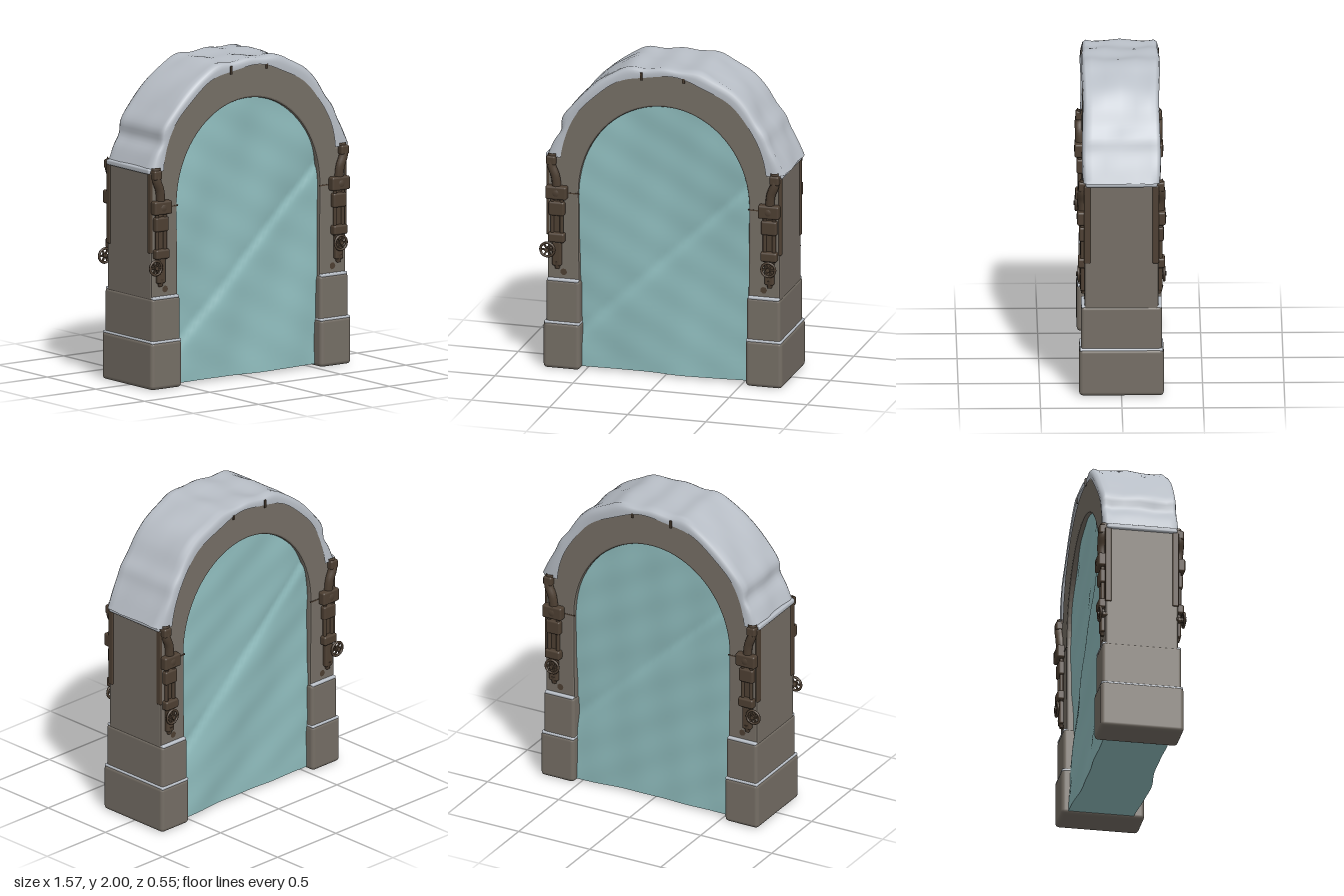
import * as THREE from 'three';
import { RoundedBoxGeometry } from 'three/addons/geometries/RoundedBoxGeometry.js';

const mat = (name, color, side = THREE.FrontSide) =>
  Object.assign(new THREE.MeshStandardMaterial({ color, side }), { name });

export function createModel() {
  const stone = mat('stone', 0x756e65);
  const ice = mat('ice', 0x8fbcbd, THREE.DoubleSide);
  const snow = mat('snow', 0xb8bec6, THREE.DoubleSide);
  const iron = mat('rustyIron', 0x4d3f32);
  const model = new THREE.Group();
  model.name = 'frozenArch';

  const add = (parent, name, geo, material, x = 0, y = 0, z = 0) => {
    const m = new THREE.Mesh(geo, material);
    m.name = name;
    m.position.set(x, y, z);
    parent.add(m);
    return m;
  };
  const rbox = (w, h, d, r = 0.012) => new RoundedBoxGeometry(w, h, d, 2, r);

  // Surface from a grid of points: rows of equal length
  const loft = (rows) => {
    const n = rows[0].length, pos = [], idx = [];
    rows.forEach((r) => r.forEach((p) => pos.push(...p)));
    for (let i = 0; i < rows.length - 1; i++)
      for (let j = 0; j < n - 1; j++) {
        const a = i * n + j, b = a + n;
        idx.push(a, a + 1, b + 1, a, b + 1, b);
      }
    const g = new THREE.BufferGeometry();
    g.setAttribute('position', new THREE.Float32BufferAttribute(pos, 3));
    g.setIndex(idx);
    g.computeVertexNormals();
    return g;
  };

  // Arch and upper pillars in one piece
  const arch = new THREE.Shape();
  const a0 = Math.asin(0.06 / 0.65);
  arch.moveTo(0.54, 0.5);
  arch.lineTo(0.745, 0.5);
  arch.lineTo(0.745, 1.36);
  arch.lineTo(0.68, 1.36);
  for (let i = 0; i <= 40; i++) {
    const a = a0 + (Math.PI - 2 * a0) * i / 40;
    arch.lineTo(0.675 * Math.cos(a), 1.3 + 0.655 * Math.sin(a));
  }
  arch.lineTo(-0.68, 1.36);
  arch.lineTo(-0.745, 1.36);
  arch.lineTo(-0.745, 0.5);
  arch.lineTo(-0.54, 0.5);
  for (let i = 0; i <= 40; i++) {
    const a = Math.PI * (1 - i / 40);
    arch.lineTo(0.545 * Math.cos(a), 1.14 + 0.6 * Math.sin(a));
  }
  const archGeo = new THREE.ExtrudeGeometry(arch, {
    depth: 0.43, bevelEnabled: true, bevelThickness: 0.012, bevelSize: 0.012, bevelOffset: -0.012, bevelSegments: 2,
  });
  add(model, 'stoneArch', archGeo, stone, 0, 0, -0.215);

  // Stepped pillar feet with snow on their ledges
  for (const s of [1, -1]) {
    add(model, 'footBlock', rbox(0.235, 0.3, 0.52, 0.025), stone, s * 0.6475, 0.15);
    add(model, 'middleBlock', rbox(0.215, 0.32, 0.495, 0.02), stone, s * 0.6425, 0.41);
    add(model, 'lowerLedgeSnow', rbox(0.226, 0.02, 0.512, 0.009), snow, s * 0.646, 0.294);
    for (const f of [1, -1]) {
      add(model, 'upperLedgeSnow', rbox(0.2, 0.02, 0.05, 0.009), snow, s * 0.643, 0.568, f * 0.222);
      add(model, 'stoneJoint', new THREE.BoxGeometry(0.07, 0.008, 0.006), iron, s * 0.575, 1.13, f * 0.226);
      add(model, 'rustSpot', new THREE.CircleGeometry(0.022, 7), iron, s * 0.64, 0.62, f * 0.229)
        .rotation.y = f > 0 ? 0 : Math.PI;
    }
  }

  // Ice slab, both faces rippled and crossed by a diagonal crease
  const ripple = (x, y, k) => {
    const d = (y - 0.85 - 0.95 * (x - 0.1) * k) * 0.72;
    const crease = (d > 0 ? Math.exp(-d / 0.16) : Math.exp(d / 0.025)) * 0.022;
    return 0.008 * Math.sin(5 * x + 3 * y + k) + 0.007 * Math.sin(9 * x * k - 6 * y)
      + 0.004 * Math.sin(17 * x + 11 * y) * Math.cos(13 * y - 4 * x) - crease;
  };
  const face = (k) => {
    const rows = [];
    for (let i = 0; i <= 60; i++) {
      const y = 0.015 + 1.73 * Math.sin(i / 60 * Math.PI / 2);
      const t = Math.min(1, Math.max(0, (y - 1.14) / 0.607));
      const w = 0.555 * Math.sqrt(1 - t * t) + 0.001;
      const row = [];
      for (let j = 0; j <= 48; j++) {
        const x = k * w * (j / 24 - 1);
        row.push([x, y, k * (0.203 + ripple(x, y, k))]);
      }
      rows.push(row);
    }
    return rows;
  };
  const front = face(1), back = face(-1);
  add(model, 'iceFront', loft(front), ice);
  add(model, 'iceBack', loft(back), ice);
  add(model, 'iceUnderside', loft([[...back[0]].reverse(), front[0]]), ice);

  // Snow cap lofted along the arch
  const ridge = new THREE.CatmullRomCurve3([
    [0.78, 1.37], [0.735, 1.46], [0.685, 1.55], [0.655, 1.62], [0.6, 1.69], [0.53, 1.8], [0.45, 1.88],
    [0.33, 1.945], [0.23, 1.99], [0.1, 1.985], [0, 1.995], [-0.12, 1.98], [-0.23, 1.985], [-0.35, 1.92],
    [-0.47, 1.83], [-0.58, 1.715], [-0.66, 1.61], [-0.665, 1.53], [-0.71, 1.46], [-0.755, 1.36],
  ].map(([x, y]) => new THREE.Vector3(x, y, 0)));
  const sections = [];
  for (let i = 0; i <= 90; i++) {
    const t = i / 90, o = ridge.getPointAt(t), a = a0 + (Math.PI - 2 * a0) * t;
    const inX = 0.66 * Math.cos(a), inY = 1.3 + (0.64 + 0.008 * Math.sin(31 * t)) * Math.sin(a);
    const row = [];
    // [share of the way out from stone to ridge, share of the half depth]
    for (const [q, z] of [[0, 1], [0.4, 1.01], [0.75, 0.98], [0.93, 0.9], [1, 0.74], [1, 0.4], [1, 0],
      [1, -0.4], [1, -0.74], [0.93, -0.9], [0.75, -0.98], [0.4, -1.01], [0, -1]]) {
      const dent = q === 1 ? 0.007 * Math.sin(23 * t + 5 * z) - 0.007 : 0;
      const half = 0.236 + 0.004 * Math.sin(19 * t);
      row.push([o.x * q + inX * (1 - q) + dent * Math.cos(a),
        o.y * q + inY * (1 - q) + dent * Math.sin(a), z * half]);
    }
    sections.push(row);
  }
  add(model, 'snowCap', loft(sections), snow);
  for (const s of [1, -1]) add(model, 'snowShoulder', rbox(0.1, 0.035, 0.44), snow, s * 0.71, 1.36);

  // Cracks at the crown
  for (const f of [1, -1])
    for (const [x, y, h] of [[-0.14, 1.93, 0.05], [0.13, 1.925, 0.03]])
      add(model, 'crownCrack', new THREE.BoxGeometry(0.014, h, 0.008), iron, x, y, f * 0.238);

  // Iron clamp with piston rods and a hand wheel; s is the outward direction
  const clamp = (s, wheelX) => {
    const g = new THREE.Group();
    g.name = 'ironClamp';
    const c = s * 0.68;
    add(g, 'collar', rbox(0.135, 0.085, 0.07), iron, c, 1.135, 0.237);
    add(g, 'collarBoss', new THREE.SphereGeometry(0.045, 14, 10), iron, c, 1.135, 0.245).scale.z = 0.7;
    const arm = new THREE.CatmullRomCurve3([[0.71, 1.38, 0.225], [0.715, 1.31, 0.24], [0.69, 1.24, 0.24],
      [0.68, 1.14, 0.235]].map(([x, y, z]) => new THREE.Vector3(s * x, y, z)));
    add(g, 'upperArm', new THREE.TubeGeometry(arm, 16, 0.029, 8), iron);
    add(g, 'armCap', rbox(0.06, 0.06, 0.06), iron, s * 0.715, 1.34, 0.235);
    for (const d of [-1, 1])
      add(g, 'rod', new THREE.CylinderGeometry(0.012, 0.012, 0.3, 8), iron, c + d * 0.03, 0.96, 0.24);
    add(g, 'backPlate', rbox(0.075, 0.3, 0.03), iron, c, 0.95, 0.218);
    add(g, 'crossBar', rbox(0.1, 0.09, 0.05), iron, c, 1.03, 0.235);
    add(g, 'lowerBlock', rbox(0.105, 0.06, 0.06), iron, c, 0.845, 0.237);
    add(g, 'tailBlock', rbox(0.06, 0.16, 0.045), iron, c, 0.74, 0.23);
    add(g, 'tailTip', new THREE.CylinderGeometry(0.026, 0.014, 0.05, 8), iron, c, 0.665, 0.232);
    add(g, 'cornerStrap', rbox(0.02, 0.5, 0.04, 0.008), iron, s * 0.742, 1.1, 0.21);
    const wheel = new THREE.Group();
    wheel.name = 'handWheel';
    wheel.position.set(s * wheelX, 0.765, 0.262);
    add(wheel, 'rim', new THREE.TorusGeometry(0.044, 0.008, 8, 20), iron);
    for (let i = 0; i < 3; i++)
      add(wheel, 'spoke', new THREE.BoxGeometry(0.088, 0.01, 0.01), iron).rotation.z = i * Math.PI / 3;
    add(wheel, 'hub', new THREE.CylinderGeometry(0.014, 0.014, 0.06, 10), iron, 0, 0, -0.015).rotation.x = Math.PI / 2;
    g.add(wheel);
    add(g, 'wheelArm', rbox(Math.abs(wheelX - 0.68) + 0.03, 0.025, 0.025, 0.008), iron,
      s * (wheelX + 0.68) / 2, 0.765, 0.235);
    return g;
  };
  for (const turn of [0, Math.PI])
    for (const s of [1, -1]) {
      const onRight = (turn === 0) === (s === -1);
      const g = clamp(s, onRight ? 0.735 : 0.68);
      g.rotation.y = turn;
      model.add(g);
    }
  return model;
}
